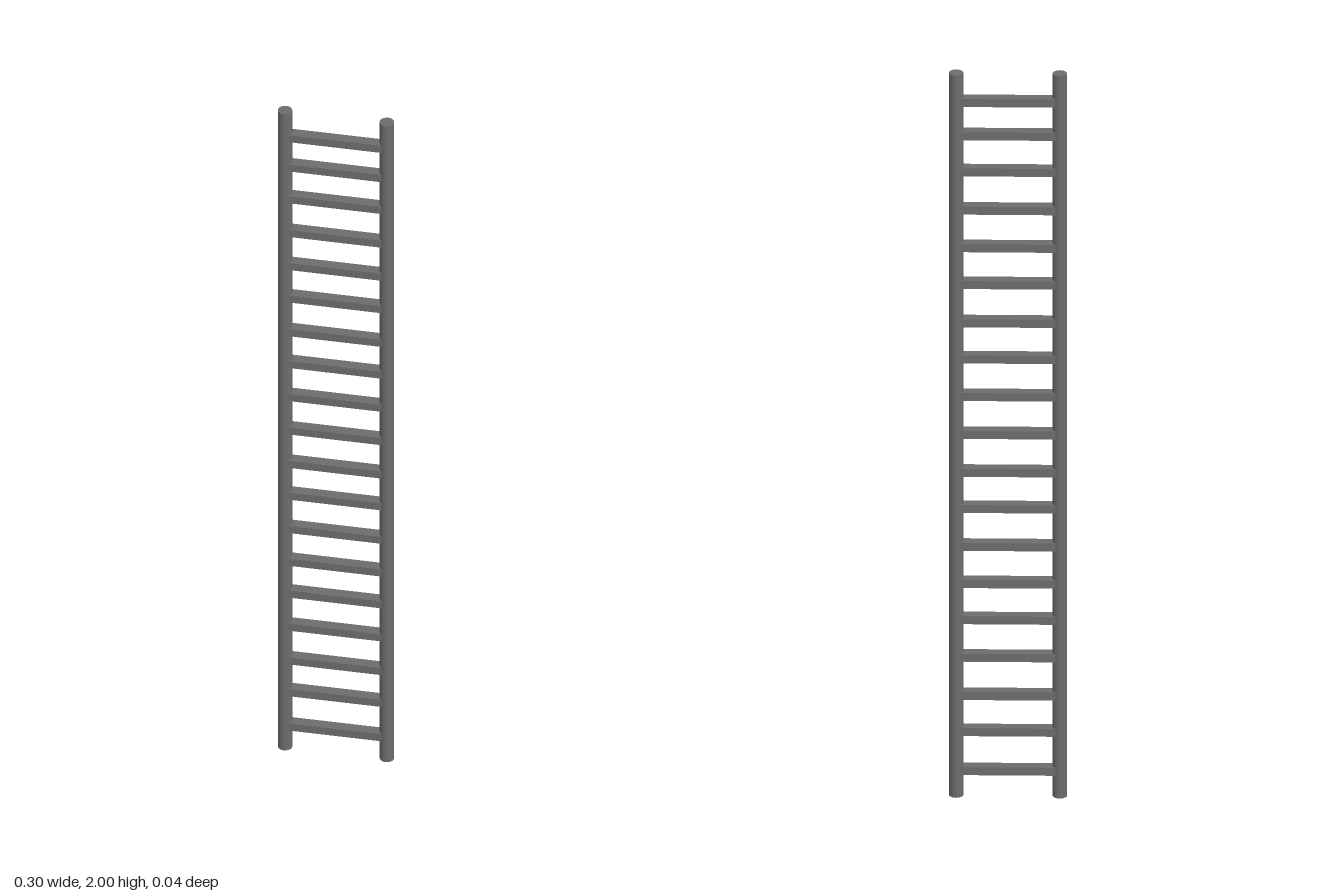
import * as THREE from 'three';

export function createModel() {
  const model = new THREE.Group();
  model.name = 'ladder';
  const steel = new THREE.MeshStandardMaterial({ color: 0x6c6e6e });
  steel.name = 'grey steel';

  // Two round side rails
  const railGeometry = new THREE.CylinderGeometry(0.018, 0.018, 2, 32);
  for (const side of [-1, 1]) {
    const rail = new THREE.Mesh(railGeometry, steel);
    rail.name = side > 0 ? 'leftRail' : 'rightRail';
    rail.position.set(side * 0.13, 1, 0);
    model.add(rail);
  }

  // Flat-sided rungs, with slightly uneven spacing
  const rungHeights = [
    0.072, 0.18, 0.28, 0.386, 0.49, 0.59, 0.693, 0.798, 0.898, 1.003,
    1.108, 1.212, 1.312, 1.418, 1.52, 1.624, 1.73, 1.83, 1.922,
  ];
  const rungGeometry = new THREE.BoxGeometry(0.26, 0.022, 0.028);
  rungHeights.forEach((y, i) => {
    const rung = new THREE.Mesh(rungGeometry, steel);
    rung.name = `rung${i + 1}`;
    rung.position.y = y;
    model.add(rung);
  });

  return model;
}
